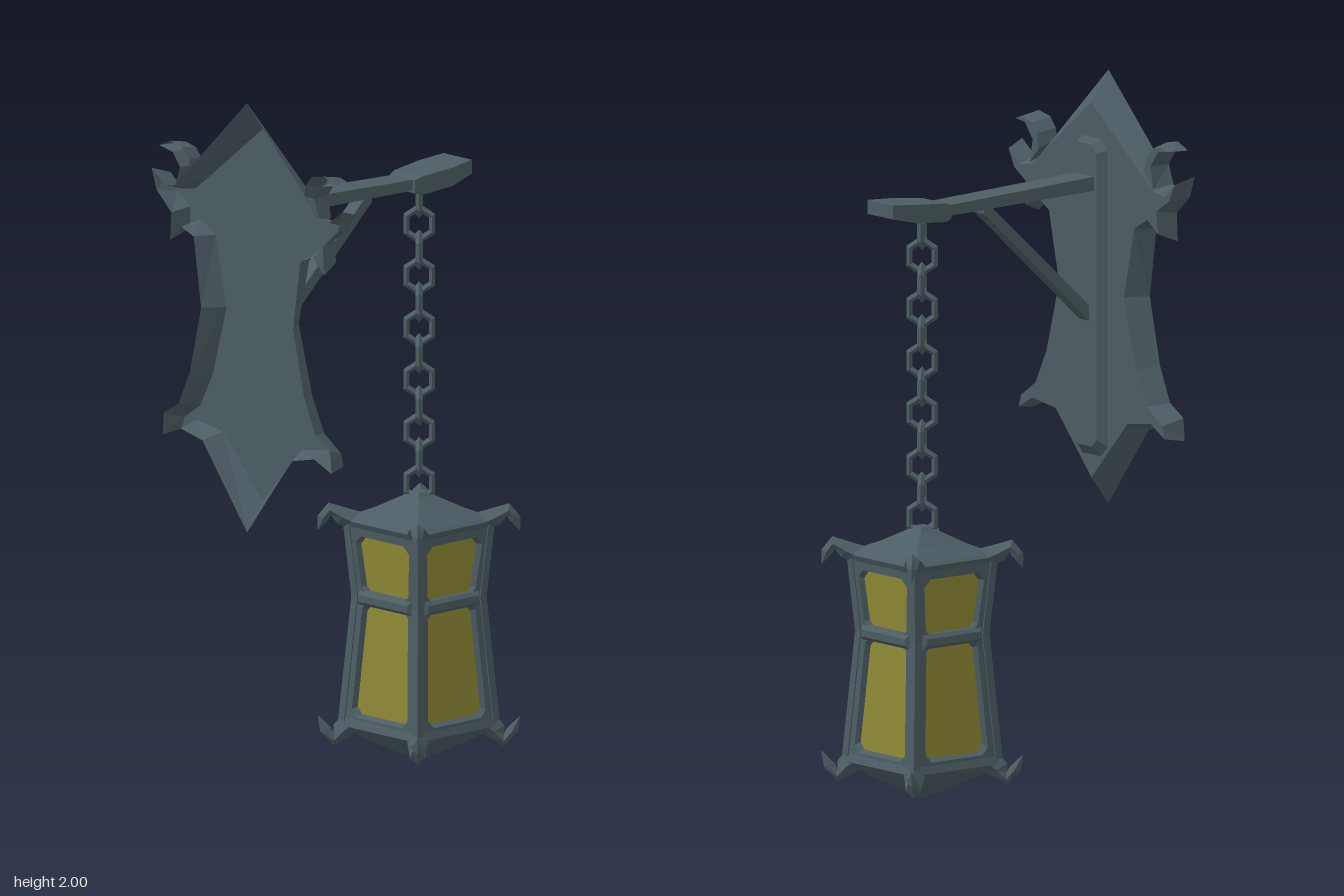
import * as THREE from 'three';

const iron = new THREE.MeshStandardMaterial({ color: 0x4c5d63, flatShading: true, side: THREE.DoubleSide });
const glass = new THREE.MeshStandardMaterial({ color: 0x8e8834, flatShading: true, side: THREE.DoubleSide });
const LZ = -0.235; // lantern and chain axis

function mesh(name, geo, mat = iron) {
  const m = new THREE.Mesh(geo, mat);
  m.name = name;
  return m;
}

// Skin through rings of [x, y, z] points, optionally capped with fans
function loft(rings, caps = true) {
  const n = rings[0].length, pos = rings.flat(2), idx = [];
  for (let r = 0; r < rings.length - 1; r++)
    for (let i = 0; i < n; i++) {
      const a = r * n + i, b = r * n + (i + 1) % n;
      idx.push(a, b, b + n, a, b + n, a + n);
    }
  if (caps) for (let i = 1; i < n - 1; i++) {
    const o = (rings.length - 1) * n;
    idx.push(0, i + 1, i, o, o + i, o + i + 1);
  }
  const g = new THREE.BufferGeometry();
  g.setAttribute('position', new THREE.Float32BufferAttribute(pos, 3));
  g.setIndex(idx);
  g.computeVertexNormals();
  return g;
}

const shapeOf = pts => new THREE.Shape(pts.map(p => new THREE.Vector2(...p)));
const rect = (cx, y0, y1, w, z) => [[cx - w, y0, z], [cx + w, y0, z], [cx + w, y1, z], [cx - w, y1, z]];

// Hollow tray: flat face at z 0.372, sloped walls flaring to the open side at z 0.433
function tray(name, outer, inner) {
  const g = new THREE.Group();
  g.name = name;
  const face = new THREE.ShapeGeometry(shapeOf(inner));
  face.translate(0, 0, 0.372);
  g.add(mesh(name + 'Face', face));
  g.add(mesh(name + 'Walls', loft([outer.map(p => [...p, 0.433]), inner.map(p => [...p, 0.372])], false)));
  return g;
}

// Mirror a right-hand outline whose first and last points lie on the axis
const mirrored = pts => [...pts, ...pts.slice(1, -1).reverse().map(([x, y]) => [-x, y])];

function wallPlate() {
  const g = new THREE.Group();
  g.name = 'wallPlate';
  const outer = [[0, 2], [0.24, 1.765], [0.28, 1.715], [0.33, 1.71], [0.385, 1.75], [0.365, 1.69],
    [0.305, 1.635], [0.31, 1.555], [0.265, 1.6], [0.215, 1.58], [0.185, 1.38], [0.23, 1.19],
    [0.275, 1.09], [0.335, 1.055], [0.34, 0.99], [0.27, 1.02], [0.18, 1.0], [0, 0.765]];
  const inner = [[0, 1.915], [0.225, 1.735], [0.27, 1.7], [0.325, 1.69], [0.37, 1.73], [0.345, 1.68],
    [0.29, 1.645], [0.295, 1.58], [0.25, 1.615], [0.19, 1.58], [0.145, 1.38], [0.2, 1.18],
    [0.25, 1.08], [0.315, 1.035], [0.325, 1.0], [0.265, 1.035], [0.16, 1.02], [0, 0.845]];
  g.add(tray('plate', mirrored(outer), mirrored(inner)));
  // Curled hooks on the shoulders
  const hookOut = [[0.23, 1.77], [0.235, 1.8], [0.26, 1.83], [0.31, 1.84], [0.355, 1.82],
    [0.3, 1.81], [0.27, 1.77], [0.29, 1.715]];
  const hookIn = [[0.235, 1.75], [0.245, 1.79], [0.268, 1.818], [0.31, 1.828], [0.34, 1.82],
    [0.298, 1.815], [0.263, 1.77], [0.275, 1.705]];
  for (const s of [1, -1]) {
    const flip = a => a.map(([x, y]) => [s * x, y]);
    g.add(tray('hook', flip(hookOut), flip(hookIn)));
  }
  // Bevelled backing strip that carries the arm
  const strip = (w, y0, y1, c, z) => [[-w + c, y0, z], [w - c, y0, z], [w, y0 + c, z], [w, y1 - c, z],
    [w - c, y1, z], [-w + c, y1, z], [-w, y1 - c, z], [-w, y0 + c, z]];
  g.add(mesh('backStrip', loft([strip(0.072, 0.91, 1.815, 0.03, 0.373), strip(0.052, 0.94, 1.8, 0.022, 0.348)])));
  return g;
}

function bracket() {
  const g = new THREE.Group();
  g.name = 'bracket';
  g.add(mesh('arm', loft([rect(0.003, 1.67, 1.71, 0.043, 0.355), rect(0.003, 1.658, 1.688, 0.043, -0.2)])));
  g.add(mesh('armTip', loft([rect(0.005, 1.652, 1.69, 0.05, -0.168), rect(0.005, 1.645, 1.698, 0.056, -0.19),
    rect(0.005, 1.655, 1.708, 0.066, -0.3), rect(0.003, 1.675, 1.715, 0.057, -0.385)])));
  g.add(mesh('brace', loft([rect(0.003, 1.29, 1.335, 0.022, 0.355), rect(0.003, 1.645, 1.685, 0.022, -0.03)])));
  return g;
}

// Hexagonal links, alternating across the two diagonals
function chain() {
  const g = new THREE.Group();
  g.name = 'chain';
  const link = new THREE.TorusGeometry(0.041, 0.01, 4, 6);
  link.rotateZ(Math.PI / 2);
  link.scale(1, 1.15, 1);
  const count = 12;
  for (let i = 0; i < count; i++) {
    const m = mesh('chainLink', link);
    m.position.set(0.003, 1.62 - i * (0.82 / (count - 1)), LZ);
    m.rotation.y = Math.PI / 4 * (i % 2 ? 1 : -1);
    g.add(m);
  }
  return g;
}

// Rectangle or taper with clipped corners: half widths w0 at y0 and w1 at y1
const clipped = (y0, w0, y1, w1, c) => [[-w0 + c, y0], [w0 - c, y0], [w0, y0 + c], [w1, y1 - c],
  [w1 - c, y1], [-w1 + c, y1], [-w1, y1 - c], [-w0, y0 + c]];

// One sloped side section: frame with a window, its reveal and the pane
function sideSection(y0, w0, y1, w1, hole) {
  const g = new THREE.Group();
  g.name = 'sideSection';
  const depth = y => w0 + (w1 - w0) * (y - y0) / (y1 - y0);
  const tilt = (geo, d) => {
    const p = geo.attributes.position;
    for (let i = 0; i < p.count; i++) p.setZ(i, depth(p.getY(i)) - d);
    return geo;
  };
  const frame = shapeOf([[-w0, y0], [w0, y0], [w1, y1], [-w1, y1]]);
  frame.holes.push(new THREE.Path(hole.map(p => new THREE.Vector2(...p))));
  g.add(mesh('windowFrame', tilt(new THREE.ShapeGeometry(frame), 0)));
  const cy = (hole[0][1] + hole[4][1]) / 2;
  const small = hole.map(([x, y]) => [x * 0.94, cy + (y - cy) * 0.95]);
  g.add(mesh('windowReveal', loft([hole.map(([x, y]) => [x, y, depth(y)]),
    small.map(([x, y]) => [x, y, depth(y) - 0.016])], false)));
  g.add(mesh('pane', tilt(new THREE.ShapeGeometry(shapeOf(small)), 0.016), glass));
  return g;
}

// Square prism ring stack from [half width, y] pairs
const squareStack = prof => loft(prof.map(([w, y]) => [[-w, y, w], [w, y, w], [w, y, -w], [-w, y, -w]]));

// Claw along the +x +z diagonal from [offset, y, half thickness] stations
function clawGeometry(path) {
  return loft(path.map(([d, y, t], i) => {
    const a = path[Math.max(i - 1, 0)], b = path[Math.min(i + 1, path.length - 1)];
    const dir = new THREE.Vector2(b[0] - a[0], b[1] - a[1]).normalize();
    const nd = -dir.y * t, ny = dir.x * t, s = t * 0.8;
    return [[d + nd, y + ny, d + nd], [d + s, y, d - s], [d - nd, y - ny, d - nd], [d - s, y, d + s]];
  }));
}

function lantern() {
  const g = new THREE.Group();
  g.name = 'lantern';
  g.position.set(0.002, 0, LZ);
  const topClaw = clawGeometry([[0.115, 0.685, 0.03], [0.15, 0.705, 0.024], [0.177, 0.725, 0.018],
    [0.19, 0.7, 0.012], [0.2, 0.665, 0.001]]);
  const lowClaw = clawGeometry([[0.125, 0.12, 0.03], [0.15, 0.09, 0.024], [0.168, 0.062, 0.018],
    [0.185, 0.09, 0.012], [0.2, 0.13, 0.001]]);
  // Slim post following the waisted corner
  const post = loft([[0.156, 0.12], [0.13, 0.475], [0.147, 0.69]].map(([w, y]) =>
    [[w + 0.004, y, w + 0.004], [w + 0.004, y, w - 0.02], [w - 0.02, y, w - 0.02], [w - 0.02, y, w + 0.004]]));
  for (let i = 0; i < 4; i++) {
    const side = new THREE.Group();
    side.name = 'lanternSide';
    side.rotation.y = i * Math.PI / 2;
    side.add(sideSection(0.475, 0.13, 0.685, 0.147, clipped(0.485, 0.094, 0.655, 0.108, 0.022)));
    side.add(sideSection(0.115, 0.156, 0.475, 0.13, clipped(0.135, 0.112, 0.465, 0.092, 0.02)));
    // Bevelled cross bar
    const bar = (w, h, z) => rect(0, 0.475 - h, 0.475 + h, w, z);
    side.add(mesh('crossBar', loft([bar(0.108, 0.022, 0.118), bar(0.105, 0.02, 0.132), bar(0.098, 0.01, 0.142)])));
    side.add(mesh('cornerPost', post), mesh('topClaw', topClaw), mesh('bottomClaw', lowClaw));
    g.add(side);
  }
  g.add(mesh('roof', squareStack([[0.145, 0.675], [0.156, 0.695], [0.145, 0.703], [0.085, 0.732],
    [0.032, 0.765], [0.018, 0.778]])));
  g.add(mesh('base', squareStack([[0.001, 0.002], [0.075, 0.045], [0.138, 0.085], [0.163, 0.105], [0.154, 0.13]])));
  return g;
}

export function createModel() {
  const model = new THREE.Group();
  model.name = 'hangingWallLantern';
  model.add(wallPlate(), bracket(), chain(), lantern());
  return model;
}
